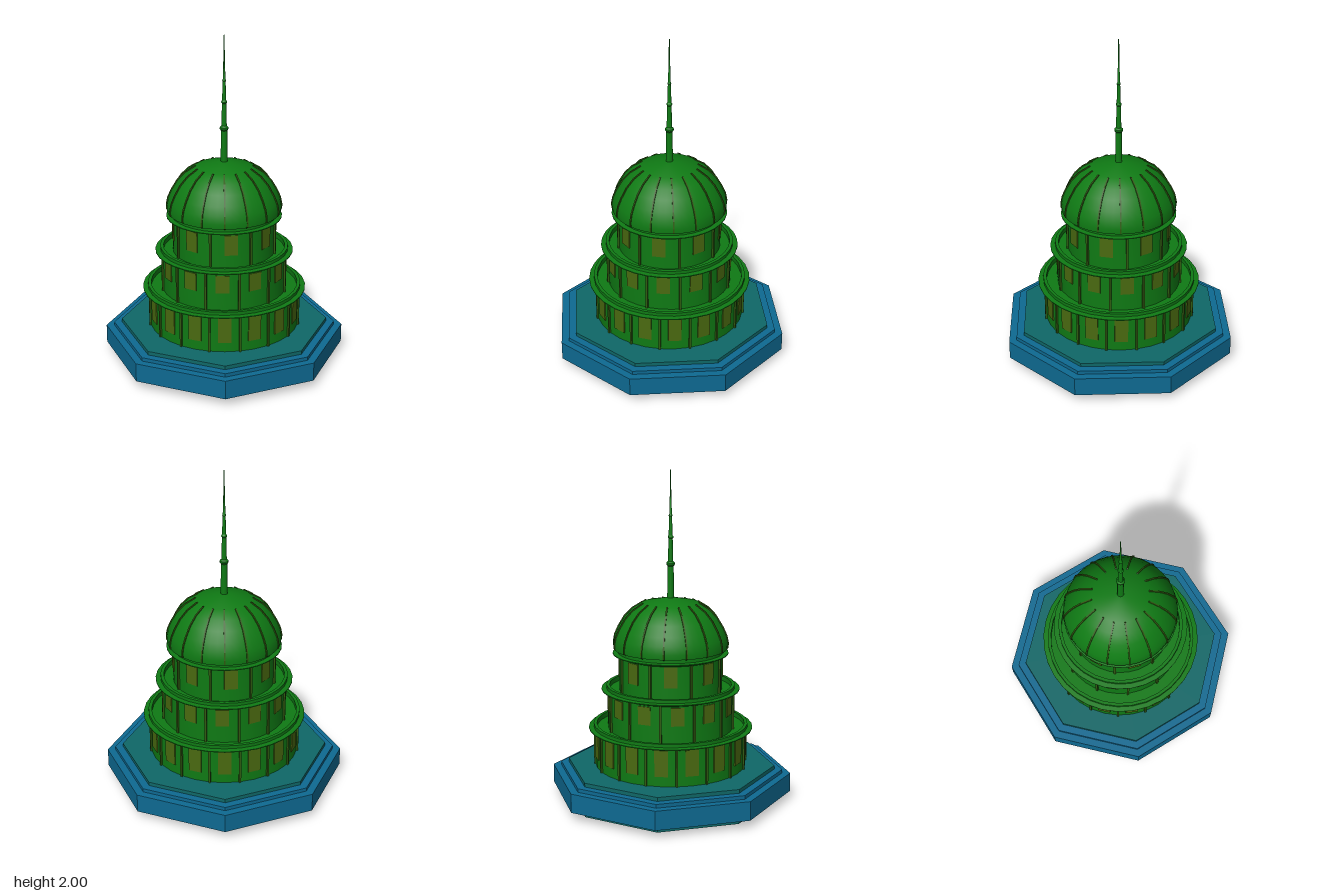
import * as THREE from 'three';
import { toCreasedNormals } from 'three/addons/utils/BufferGeometryUtils.js';

const mat = (color) => new THREE.MeshStandardMaterial({ color, side: THREE.DoubleSide });
const GREEN = mat(0x0f7a14), TEAL = mat(0x0f6868), BLUE = mat(0x0e6a92);
const GLASS = mat(0x4a6a10), RIB = mat(0x2f5a10);

export function createModel() {
  const model = new THREE.Group();

  const add = (parent, name, geometry, material) => {
    const mesh = new THREE.Mesh(geometry, material);
    mesh.name = name;
    parent.add(mesh);
    return mesh;
  };
  const lathe = (points, segments) => toCreasedNormals(
    new THREE.LatheGeometry(points.map(([r, y]) => new THREE.Vector2(r, y)), segments), 0.5);

  // Octagonal plinth, given by the distance to its flat sides
  const octagon = (name, points, material) => {
    const k = 1 / Math.cos(Math.PI / 8);
    const mesh = add(model, name, lathe(points.map(([a, y]) => [a * k, y]), 8), material);
    mesh.rotation.y = Math.PI / 8;
  };
  octagon('plinthFoot', [[0.59, 0], [0.59, 0.165]], TEAL);
  octagon('plinthSlab', [[0.59, 0.05], [0.68, 0.05], [0.68, 0.165], [0, 0.165]], BLUE);
  octagon('plinthStep', [[0.635, 0.165], [0.635, 0.187], [0.59, 0.187]], BLUE);
  octagon('plinthTop', [[0.59, 0.187], [0.59, 0.21], [0, 0.21]], TEAL);

  // A box repeated around the axis at radius r
  const ring = (parent, name, count, offset, r, y, size, material) => {
    for (let i = 0; i < count; i++) {
      const a = THREE.MathUtils.degToRad(offset) + (i / count) * Math.PI * 2;
      const box = add(parent, name, new THREE.BoxGeometry(...size), material);
      box.position.set(Math.sin(a) * r, y, Math.cos(a) * r);
      box.rotation.y = a;
    }
  };

  // Round storeys with a cornice, parapet, posts and windows
  const storeys = [
    { r: 0.46, y0: 0.21, y1: 0.44, lip: 0.5, rim: 0.47, top: 0.47, n: 16, turn: 0, win: [0.27, 0.43] },
    { r: 0.38, y0: 0.44, y1: 0.68, lip: 0.42, rim: 0.39, top: 0.71, n: 12, turn: -9.5, win: [0.55, 0.66] },
    { r: 0.312, y0: 0.68, y1: 0.9, lip: 0.35, rim: 0.32, top: 0.935, n: 8, turn: -15.5, win: [0.76, 0.885] },
  ];
  storeys.forEach((s, i) => {
    const storey = new THREE.Group();
    storey.name = 'storey' + (i + 1);
    model.add(storey);
    add(storey, 'wall', lathe([[s.r, s.y0], [s.r, s.y1]], 32), GREEN);
    add(storey, 'cornice', lathe([[s.r, s.y1 - 0.012], [s.lip, s.y1 + 0.002],
      [s.lip, s.y1 + 0.007], [s.rim, s.y1 + 0.01]], 32), GREEN);
    add(storey, 'parapet', lathe([[s.rim, s.y1], [s.rim, s.top], [s.rim - 0.02, s.top],
      [s.rim - 0.02, s.y1], [0, s.y1]], 32), GREEN);
    const [w0, w1] = s.win;
    ring(storey, 'window', s.n, s.turn, s.r - 0.004, (w0 + w1) / 2, [0.08, w1 - w0, 0.014], GLASS);
    ring(storey, 'post', s.n, s.turn + 180 / s.n, s.r, (s.y0 + s.y1) / 2,
      [0.013, s.y1 - s.y0, 0.02], RIB);
  });

  // Dome with a shallow conical cap
  const curve = [[0.345, 0.935], [0.347, 0.965], [0.338, 1.01], [0.316, 1.06],
    [0.28, 1.12], [0.233, 1.17], [0.17, 1.21]];
  add(model, 'dome', lathe([[0, 0.935], ...curve, [0, 1.245]], 48), GREEN);

  // Sixteen ribs following the dome
  const ribShape = new THREE.Shape([
    ...curve.map(([r, y]) => new THREE.Vector2(r + 0.005, y + 0.004)),
    ...[...curve].reverse().map(([r, y]) => new THREE.Vector2(r - 0.012, y - 0.006)),
  ]);
  const ribGeometry = new THREE.ExtrudeGeometry(ribShape, { depth: 0.009, bevelEnabled: false });
  ribGeometry.translate(0, 0, -0.0045);
  for (let i = 0; i < 16; i++) {
    add(model, 'domeRib', ribGeometry, RIB).rotation.y = (i / 16) * Math.PI * 2;
  }

  // Tapering spire with collars
  add(model, 'spire', lathe([[0.021, 1.23], [0.019, 1.43], [0.026, 1.44], [0.026, 1.45],
    [0.016, 1.46], [0.013, 1.595], [0.017, 1.6], [0.017, 1.607], [0.012, 1.615],
    [0.009, 1.725], [0.012, 1.73], [0.008, 1.74], [0.004, 1.88], [0.003, 2], [0, 2]], 12), GREEN);

  return model;
}
